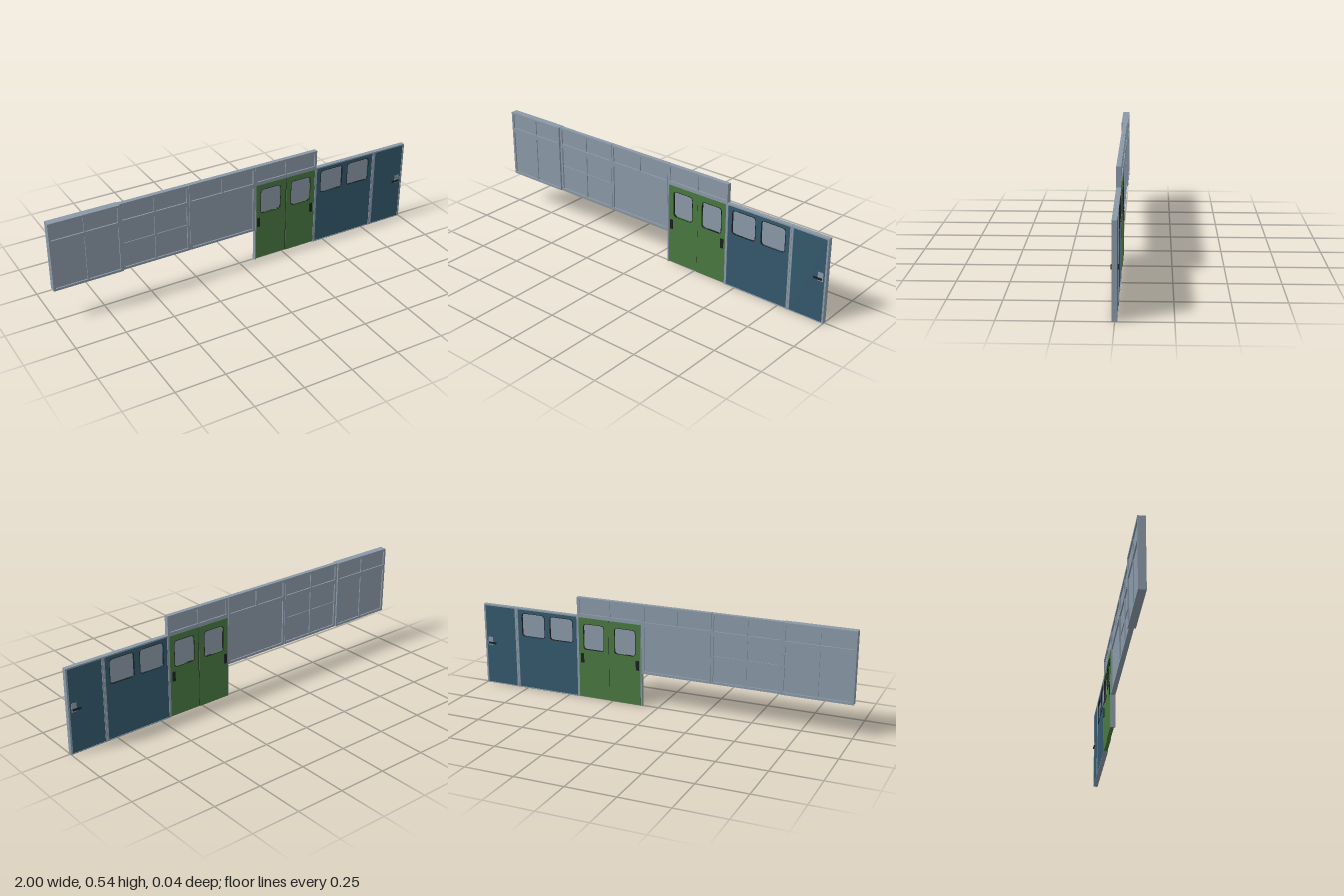
import * as THREE from 'three';

const mat = (name, color) => {
  const m = new THREE.MeshStandardMaterial({ color });
  m.name = name;
  return m;
};

export function createModel() {
  const grey = mat('aluminium grey', 0x8a99a8);
  const blue = mat('panel blue', 0x33586c);
  const green = mat('door green', 0x48783f);
  const black = mat('rubber black', 0x1c1e20);
  const root = new THREE.Group();
  root.name = 'partitionWall';

  const group = (name) => {
    const g = new THREE.Group();
    g.name = name;
    root.add(g);
    return g;
  };
  // Box given by its limits on each axis
  const box = (parent, name, material, x0, x1, y0, y1, z0, z1) => {
    const m = new THREE.Mesh(new THREE.BoxGeometry(x1 - x0, y1 - y0, z1 - z0), material);
    m.position.set((x0 + x1) / 2, (y0 + y1) / 2, (z0 + z1) / 2);
    m.name = name;
    parent.add(m);
  };
  // Rounded rectangle outline
  const rounded = (Type, x0, x1, y0, y1, r) => {
    const s = new Type();
    s.moveTo(x0 + r, y0);
    s.lineTo(x1 - r, y0);
    s.quadraticCurveTo(x1, y0, x1, y0 + r);
    s.lineTo(x1, y1 - r);
    s.quadraticCurveTo(x1, y1, x1 - r, y1);
    s.lineTo(x0 + r, y1);
    s.quadraticCurveTo(x0, y1, x0, y1 - r);
    s.lineTo(x0, y0 + r);
    s.quadraticCurveTo(x0, y0, x0 + r, y0);
    return s;
  };
  const slab = (parent, name, material, shape, z0, z1) => {
    const geo = new THREE.ExtrudeGeometry(shape, { depth: z1 - z0, bevelEnabled: false, curveSegments: 5 });
    const m = new THREE.Mesh(geo, material);
    m.position.z = z0;
    m.name = name;
    parent.add(m);
  };
  // Sheet with glazed, rubber-edged rounded windows [x0, x1, y0, y1]
  const glazedSheet = (parent, material, [x0, x1, y0, y1], z0, z1, windows) => {
    const s = new THREE.Shape();
    s.moveTo(x0, y0);
    s.lineTo(x1, y0);
    s.lineTo(x1, y1);
    s.lineTo(x0, y1);
    s.closePath();
    const r = 0.018, w = 0.002, mid = (z0 + z1) / 2;
    for (const [a, b, c, d] of windows) {
      s.holes.push(rounded(THREE.Path, a, b, c, d, r));
      const ring = rounded(THREE.Shape, a - w, b + w, c - w, d + w, r);
      ring.holes.push(rounded(THREE.Path, a, b, c, d, r));
      slab(parent, 'windowSeal', black, ring, z0 - 0.002, z1 + 0.002);
      slab(parent, 'windowGlass', grey, rounded(THREE.Shape, a, b, c, d, r), mid - 0.002, mid + 0.002);
    }
    slab(parent, 'sheet', material, s, z0, z1);
  };

  const Z0 = -0.011, Z1 = 0.012, F = 0.012;
  const SILL = 0.175, RAIL = 0.433, TOP = 0.535;

  // Frame with panes, split by mullions (x) and transoms (y)
  const glazedFrame = (g, x0, x1, y0, y1, z0, z1, mullions = [], transoms = []) => {
    box(g, 'leftPost', grey, x0, x0 + F, y0, y1, z0, z1);
    box(g, 'rightPost', grey, x1 - F, x1, y0, y1, z0, z1);
    box(g, 'bottomRail', grey, x0 + F, x1 - F, y0, y0 + F, z0, z1);
    box(g, 'topRail', grey, x0 + F, x1 - F, y1 - F, y1, z0, z1);
    const inset = 0.007;
    box(g, 'pane', grey, x0 + F, x1 - F, y0 + F, y1 - F, z0 + inset, z1 - inset);
    for (const x of mullions)
      box(g, 'mullion', grey, x - 0.005, x + 0.005, y0 + F, y1 - F, z0 + 0.002, z1 - 0.002);
    for (const y of transoms)
      box(g, 'transom', grey, x0 + F, x1 - F, y - 0.004, y + 0.004, z0 + 0.003, z1 - 0.003);
  };

  // Upper glazed bays: limits, depth, and whether the lower part is divided
  const bays = [
    { name: 'deepBay', x0: -1, x1: -0.647, z0: -0.017, z1: 0.02, split: true, bars: [] },
    { name: 'barredBay', x0: -0.645, x1: -0.285, z0: Z0, z1: Z1, split: true, bars: [0.315] },
    { name: 'openBay', x0: -0.283, x1: 0.084, z0: Z0, z1: Z1, split: false, bars: [] },
  ];
  for (const { name, x0, x1, z0, z1, split, bars } of bays) {
    const g = group(name);
    const mid = (x0 + x1) / 2;
    glazedFrame(g, x0, x1, SILL, RAIL, z0, z1, split ? [mid] : [], bars);
    glazedFrame(g, x0, x1, RAIL, TOP, z0, z1, [mid]);
  }
  glazedFrame(group('doorTransomLight'), 0.085, 0.445, 0.437, TOP, Z0, Z1, [0.265]);

  // Green double door, the right leaf set further back
  const doors = group('slidingDoors');
  box(doors, 'doorPost', grey, 0.085, 0.091, 0, 0.437, Z0, Z1);
  box(doors, 'doorHeader', grey, 0.091, 0.438, 0.43, 0.437, Z0, Z1);
  const leaves = [
    { x0: 0.091, x1: 0.266, win: [0.12, 0.234], handle: 0.107, z0: -0.013, z1: 0.006 },
    { x0: 0.269, x1: 0.438, win: [0.296, 0.41], handle: 0.418, z0: -0.01, z1: 0.009 },
  ];
  for (const { x0, x1, win, handle, z0, z1 } of leaves) {
    const g = new THREE.Group();
    g.name = 'doorLeaf';
    doors.add(g);
    glazedSheet(g, green, [x0, x1, 0.003, 0.43], z0, z1, [[...win, 0.263, 0.397]]);
    box(g, 'pullHandle', black, handle - 0.008, handle + 0.008, 0.19, 0.24, z0 - 0.004, z1 + 0.004);
  }
  box(doors, 'meetingSeal', black, 0.266, 0.269, 0.003, 0.43, -0.01, 0.006);

  // Blue wall panel with two windows
  const wall = group('windowPanel');
  box(wall, 'post', grey, 0.438, 0.45, 0, 0.437, Z0, Z1);
  box(wall, 'post', grey, 0.796, 0.804, 0, 0.437, Z0, Z1);
  box(wall, 'topRail', grey, 0.45, 0.796, 0.43, 0.437, Z0, Z1);
  box(wall, 'bottomRail', grey, 0.45, 0.796, 0, 0.004, Z0, Z1);
  glazedSheet(wall, blue, [0.45, 0.796, 0.004, 0.43], -0.008, 0.009,
    [[0.475, 0.606, 0.288, 0.41], [0.64, 0.771, 0.288, 0.41]]);

  // Blue hinged door with lever handles on both faces
  const door = group('hingedDoor');
  box(door, 'post', grey, 0.805, 0.814, 0, 0.437, Z0, Z1);
  box(door, 'post', grey, 0.991, 1, 0, 0.437, Z0, Z1);
  box(door, 'topRail', grey, 0.814, 0.991, 0.43, 0.437, Z0, Z1);
  box(door, 'bottomRail', grey, 0.814, 0.991, 0, 0.004, Z0, Z1);
  box(door, 'doorSheet', blue, 0.814, 0.991, 0.004, 0.43, -0.009, 0.01);
  box(door, 'lockPlate', grey, 0.955, 0.983, 0.213, 0.257, -0.011, 0.012);
  for (const [a, b] of [[0.012, 0.018], [-0.017, -0.011]]) {
    box(door, 'lever', black, 0.935, 0.978, 0.221, 0.23, a, b);
  }

  return root;
}
